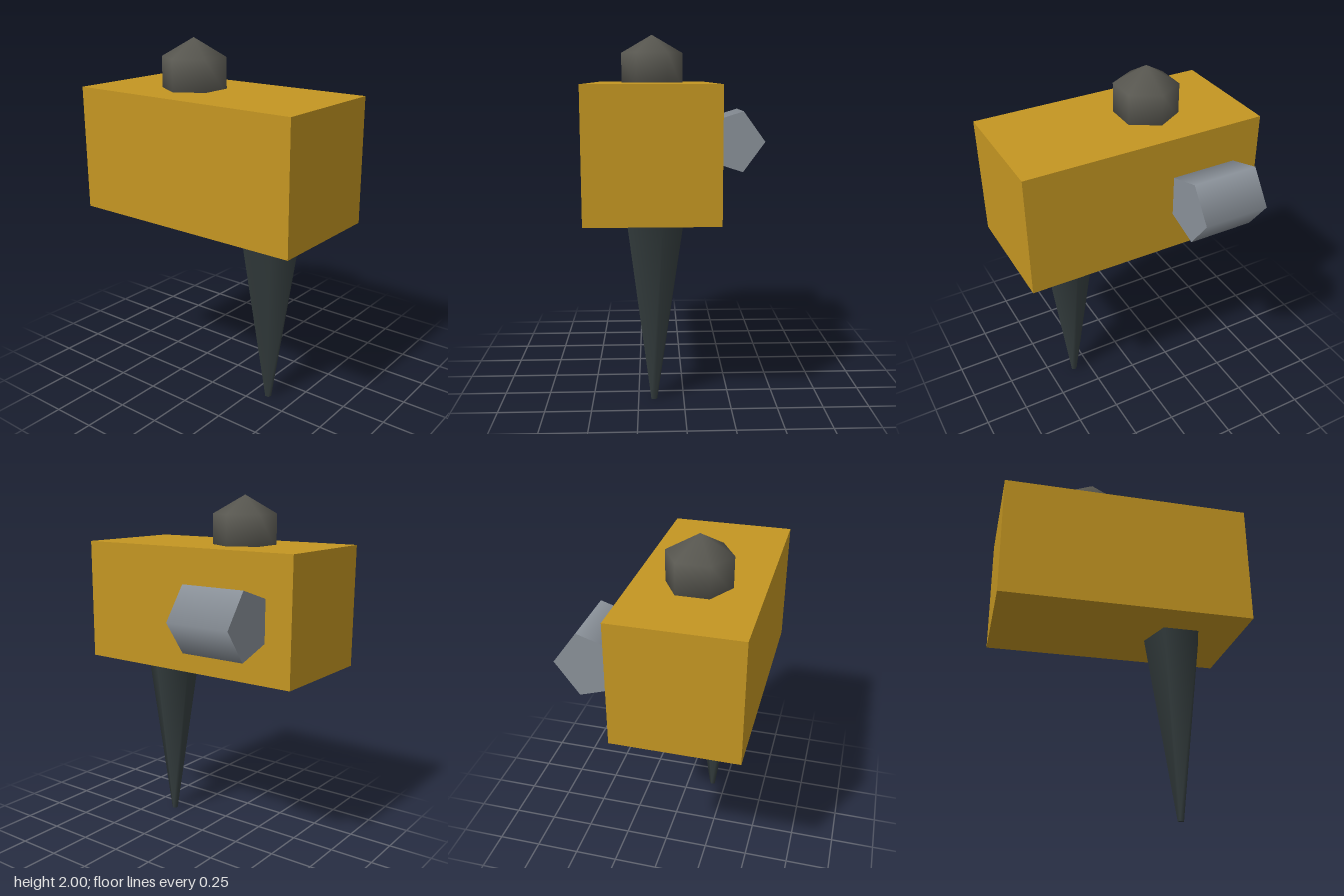
import * as THREE from 'three';

const material = (name, color) => {
  const m = new THREE.MeshStandardMaterial({ color });
  m.name = name;
  return m;
};

export function createModel() {
  const model = new THREE.Group();
  model.name = 'spikedBlock';

  const ochre = material('ochre', 0xc49622);
  const steel = material('steel grey', 0x8a9199);
  const warmGrey = material('warm dark grey', 0x5a5952);
  const charcoal = material('charcoal', 0x343d3e);

  const add = (name, geometry, mat, x, y, z) => {
    const mesh = new THREE.Mesh(geometry, mat);
    mesh.name = name;
    mesh.position.set(x, y, z);
    model.add(mesh);
  };

  // Long main block
  add('body', new THREE.BoxGeometry(0.686, 0.69, 1.38), ochre, -0.167, 1.383, 0);

  // Coarse six-sided ball, half sunk into the top
  add('topKnob', new THREE.SphereGeometry(0.205, 6, 3), warmGrey, -0.165, 1.795, -0.173);

  // Five-sided barrel lying along z, with one corner pointing outward
  const barrel = new THREE.CylinderGeometry(0.19, 0.19, 0.378, 5, 1, false, Math.PI / 2);
  barrel.rotateX(Math.PI / 2);
  add('sideBarrel', barrel, steel, 0.316, 1.38, -0.345);

  // Five-sided tapering spike, with one corner toward +x
  const spike = new THREE.CylinderGeometry(0.171, 0.018, 1.042, 5, 1, false, Math.PI / 2);
  add('spike', spike, charcoal, -0.165, 0.521, 0.347);

  return model;
}
